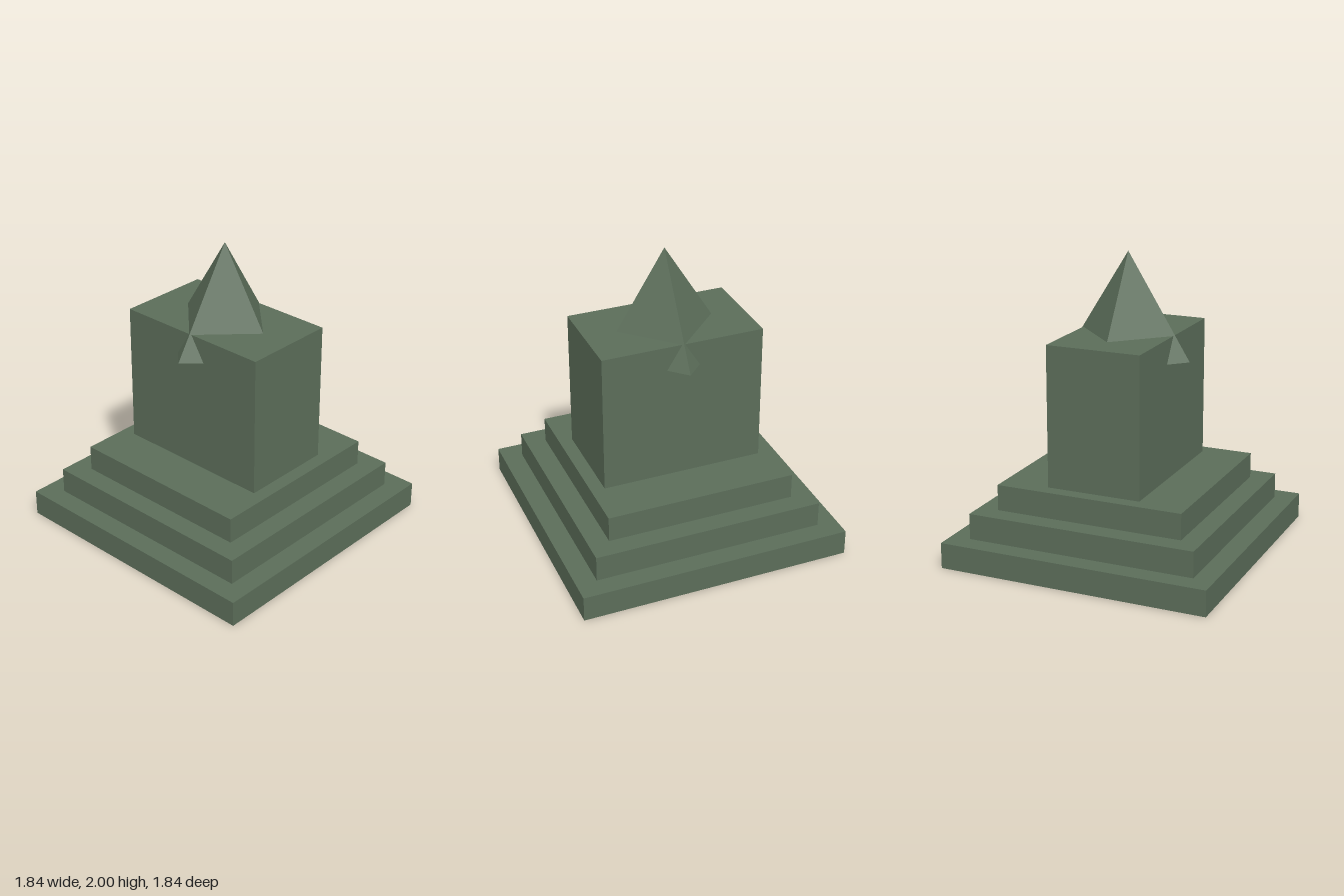
import * as THREE from 'three';

export function createModel() {
  const group = new THREE.Group();
  const stone = new THREE.MeshStandardMaterial({ color: 0x5b6d59, flatShading: true });
  stone.name = 'greenStone';

  // A box standing on height y
  const block = (name, w, h, d, y) => {
    const mesh = new THREE.Mesh(new THREE.BoxGeometry(w, h, d), stone);
    mesh.name = name;
    mesh.position.y = y + h / 2;
    group.add(mesh);
  };

  // Three square steps
  const stepHeight = 0.174;
  ['lowerStep', 'middleStep', 'upperStep'].forEach((name, i) => {
    const width = [1.835, 1.56, 1.285][i];
    block(name, width, stepHeight, width, i * stepHeight);
  });

  // Main block
  block('body', 1.1, 0.948, 0.642, 3 * stepHeight);

  // Four-sided spire turned corner to the front, partly sunk into the body
  const spireHeight = 0.695;
  const spire = new THREE.Mesh(new THREE.ConeGeometry(0.433, spireHeight, 4), stone);
  spire.name = 'spire';
  spire.position.y = 2 - spireHeight / 2;
  group.add(spire);

  return group;
}
